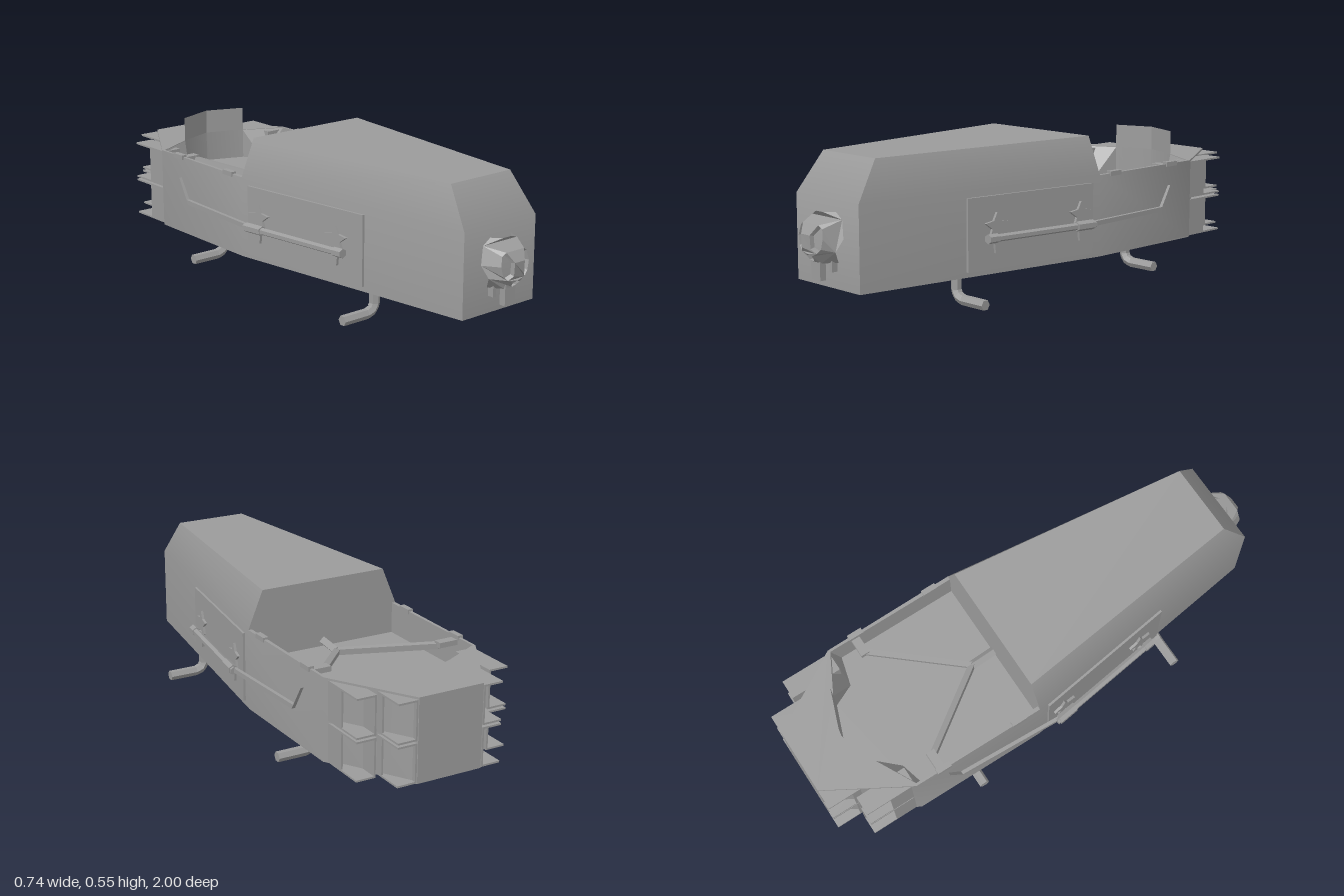
import * as THREE from 'three';
import { mergeGeometries, toCreasedNormals } from 'three/addons/utils/BufferGeometryUtils.js';
import { ConvexGeometry } from 'three/addons/geometries/ConvexGeometry.js';

const V = (x, y, z) => new THREE.Vector3(x, y, z);
const shapeOf = (pts) => new THREE.Shape(pts.map(([x, y]) => new THREE.Vector2(x, y)));

export function createModel() {
  const model = new THREE.Group();
  const color = 0x9b9b9b;
  const faceted = new THREE.MeshStandardMaterial({ color, flatShading: true });
  const smooth = new THREE.MeshStandardMaterial({ color });
  const thin = new THREE.MeshStandardMaterial({ color, flatShading: true, side: THREE.DoubleSide });

  function add(name, geo, mat = faceted) {
    const mesh = new THREE.Mesh(geo, mat);
    mesh.name = name;
    model.add(mesh);
  }

  // Mirrors a geometry in x and turns its faces back outward
  function mirrored(geo) {
    const g = geo.index ? geo.toNonIndexed() : geo.clone();
    g.scale(-1, 1, 1);
    const p = g.attributes.position;
    for (let i = 0; i < p.count; i += 3) {
      const a = V().fromBufferAttribute(p, i + 1), b = V().fromBufferAttribute(p, i + 2);
      p.setXYZ(i + 1, b.x, b.y, b.z);
      p.setXYZ(i + 2, a.x, a.y, a.z);
    }
    g.computeVertexNormals();
    return g;
  }
  function addPair(name, geo, mat) {
    add(name + 'Left', geo, mat);
    add(name + 'Right', mirrored(geo), mat);
  }

  const extrude = (shape, depth) => new THREE.ExtrudeGeometry(shape, { depth, bevelEnabled: false });
  const box = (w, h, d, x, y, z) => new THREE.BoxGeometry(w, h, d).translate(x, y, z);
  // Plan outline in (x, z), raised from y0 to y1
  const plan = (pts) => shapeOf(pts.map(([x, z]) => [x, -z]));
  const raise = (shape, y0, y1) => extrude(shape, y1 - y0).rotateX(-Math.PI / 2).translate(0, y0, 0);
  // Side outline in (z, y), thickness t centred on x = 0
  const sideCut = (pts, t) => extrude(shapeOf(pts), t).rotateY(-Math.PI / 2).translate(t / 2, 0, 0);
  // Straight bar between two points
  function bar(a, b, r, sides) {
    const d = b.clone().sub(a);
    const q = new THREE.Quaternion().setFromUnitVectors(V(0, 1, 0), d.clone().normalize());
    const m = a.clone().add(b).multiplyScalar(0.5);
    return new THREE.CylinderGeometry(r, r, d.length(), sides).applyQuaternion(q).translate(m.x, m.y, m.z);
  }
  // Follows the slanted front flank of the hull
  const flank = (geo) => geo.applyMatrix4(new THREE.Matrix4().set(
    1, 0, -0.138, 0.2993, 0, 1, 0, 0, 0, 0, 1, 0, 0, 0, 0, 1));

  // Coffin-shaped hull with an open cockpit and a bevelled hood, softly blended where they meet
  const both = (half) => [...half, ...half.slice().reverse().map(([x, z]) => [-x, z])];
  const outline = both([[0.175, 0.9], [0.32, -0.15], [0.315, -0.69], [0.13, -1]]);
  const opening = both([[0.305, -0.15], [0.305, -0.685], [0.15, -0.765], [0.001, -0.82]]);
  const hullPlan = plan(outline);
  hullPlan.holes.push(plan(opening));
  const hull = raise(hullPlan, 0.095, 0.41);
  hull.deleteAttribute('uv');
  const hood = new ConvexGeometry([1, -1].flatMap((s) => [
    V(s * 0.175, 0.41, 0.9), V(s * 0.32, 0.41, -0.15), V(s * 0.145, 0.555, 0.8), V(s * 0.26, 0.555, -0.15)]));
  add('hullAndHood', toCreasedNormals(mergeGeometries([hull, hood]), 0.65), smooth);
  add('underside', raise(plan(outline), 0.095, 0.1));
  add('cockpitFloor', raise(plan(opening), 0.27, 0.29));

  // Sloped corners at the back of the cockpit
  addPair('cockpitCorner', new ConvexGeometry([V(0.305, 0.408, -0.685), V(0.15, 0.408, -0.765),
    V(0.305, 0.29, -0.65), V(0.15, 0.29, -0.765), V(0.19, 0.29, -0.68)]));

  // Thin raised backrest, facing forward
  const rest = new THREE.PlaneGeometry(0.3, 0.095, 2, 1).translate(0, 0.4575, -0.765);
  const rp = rest.attributes.position;
  for (let i = 0; i < rp.count; i++) if (Math.abs(rp.getX(i)) < 0.01) rp.setZ(i, -0.82);
  add('backrest', rest);

  // Y-shaped harness and its clips on the rim
  add('harnessStem', bar(V(0, 0.31, -0.15), V(0, 0.3, -0.25), 0.018, 4));
  addPair('harnessArm', bar(V(0, 0.3, -0.25), V(0.24, 0.385, -0.57), 0.016, 4));
  addPair('harnessEnd', box(0.08, 0.02, 0.035, 0.268, 0.392, -0.577));
  for (const z of [-0.24, -0.57]) addPair('rimClip', box(0.022, 0.018, 0.06, 0.312, 0.409, z));

  // Rear tubes, open to the back, with the outer wall cut short
  function rearTube(x, y, zBack, zFront) {
    const w = 0.077, h = 0.148, t = 0.007, cut = 0.1;
    const d = zFront - zBack, zMid = (zFront + zBack) / 2;
    return mergeGeometries([
      box(w, t, d, x, y + (h - t) / 2, zMid),
      box(w, t, d, x, y - (h - t) / 2, zMid),
      box(t, h, d, x - (w - t) / 2, y, zMid),
      box(t, h, d - cut, x + (w - t) / 2, y, zMid + cut / 2),
      box(w, h, t, x, y, zFront - t / 2)]);
  }
  for (const y of [0.172, 0.328]) {
    addPair('outerRearTube', rearTube(0.267, y, -0.895, -0.69));
    addPair('innerRearTube', rearTube(0.171, y, -1, -0.83));
  }

  // Flank panels
  addPair('sidePanel', flank(box(0.02, 0.27, 0.57, -0.001, 0.25, 0.175)));

  // Pole weapon: shaft, hexagonal pommel and long bent blade
  const shaftParts = { Shaft: [0.39, -0.09, 0.014], Pommel: [0.4, 0.36, 0.018], Collar: [0, -0.08, 0.019] };
  for (const [part, [z0, z1, r]] of Object.entries(shaftParts))
    addPair('weapon' + part, flank(bar(V(0.041, 0.235, z0), V(0.041, 0.235, z1), r, 6)));
  const blade = sideCut([[-0.08, 0.226], [-0.495, 0.226], [-0.555, 0.325], [-0.505, 0.244], [-0.08, 0.244]], 0.014);
  blade.applyMatrix4(new THREE.Matrix4().makeShear(0, 0, 0, 0, 0.05, 0)).translate(0.349, 0, 0);
  addPair('weaponBlade', blade);

  // Star-shaped brackets holding the shaft
  for (const z of [0.345, -0.04]) {
    const star = [[0, 0.325], [0.014, 0.295], [0.05, 0.288], [0.02, 0.265], [0.03, 0.235], [0.012, 0.225],
      [0.006, 0.175], [-0.006, 0.175], [-0.012, 0.225], [-0.03, 0.235], [-0.02, 0.265], [-0.05, 0.288], [-0.014, 0.295]];
    addPair('starBracket', flank(sideCut(star.map(([u, v]) => [u + z, v]), 0.01).translate(0.019, 0, 0)));
    addPair('bracketPeg', flank(bar(V(0, 0.235, z), V(0.041, 0.235, z), 0.01, 6)));
  }

  // Bent foot pipes
  for (const z of [0.48, -0.43]) {
    const path = new THREE.CurvePath();
    const pts = [V(0.202, 0.11, z), V(0.202, 0.05, z), V(0.215, 0.028, z), V(0.24, 0.0185, z), V(0.356, 0.0185, z)];
    for (let i = 1; i < pts.length; i++) path.add(new THREE.LineCurve3(pts[i - 1], pts[i]));
    addPair('footPipe', new THREE.TubeGeometry(path, 24, 0.02, 6));
    addPair('footCap', new THREE.CircleGeometry(0.02, 6).rotateY(Math.PI / 2).translate(0.356, 0.0185, z));
  }

  // Skull ornament: faceted open-topped dome pierced by eyes and nose
  const domeZ = (x, y) => 0.9 + Math.sqrt(Math.max(0, 0.0101 - x * x - (y - 0.275) ** 2));
  const eye = [[0.043, 0.33], [0.06, 0.318], [0.068, 0.283], [0.06, 0.247], [0.041, 0.23], [0.025, 0.247], [0.024, 0.295]];
  const nose = [[0, 0.226], [0.016, 0.218], [0.012, 0.203], [0, 0.196], [-0.012, 0.203], [-0.016, 0.218]];
  const openings = { leftEye: eye, rightEye: eye.map(([x, y]) => [-x, y]).reverse(), nose };
  const face = shapeOf(both([[0.02, 0.368], [0.05, 0.368], [0.084, 0.345], [0.1, 0.28], [0.086, 0.235], [0.06, 0.19], [0.025, 0.19]]));
  for (const pts of Object.values(openings)) face.holes.push(shapeOf(pts));
  const dome = new THREE.ShapeGeometry(face);
  const dp = dome.attributes.position;
  for (let i = 0; i < dp.count; i++) dp.setZ(i, domeZ(dp.getX(i), dp.getY(i)));
  add('skullDome', dome);

  // Bevelled rims sinking inward around the openings
  for (const [name, pts] of Object.entries(openings)) {
    const cx = pts.reduce((s, p) => s + p[0], 0) / pts.length;
    const cy = pts.reduce((s, p) => s + p[1], 0) / pts.length;
    const corners = [], faces = [];
    pts.forEach(([x, y], i) => {
      const z = domeZ(x, y), a = 2 * i, b = 2 * ((i + 1) % pts.length);
      corners.push(x, y, z, cx + (x - cx) * 0.84, cy + (y - cy) * 0.84, z - 0.015);
      faces.push(a, b, a + 1, b, b + 1, a + 1);
    });
    const rim = new THREE.BufferGeometry();
    rim.setAttribute('position', new THREE.Float32BufferAttribute(corners, 3));
    rim.setIndex(faces);
    rim.computeVertexNormals();
    add(name + 'Rim', rim, thin);
  }
  add('frontTooth', box(0.05, 0.075, 0.025, 0, 0.165, 0.942));
  addPair('sideTooth', box(0.014, 0.045, 0.025, 0.046, 0.181, 0.912));

  return model;
}
